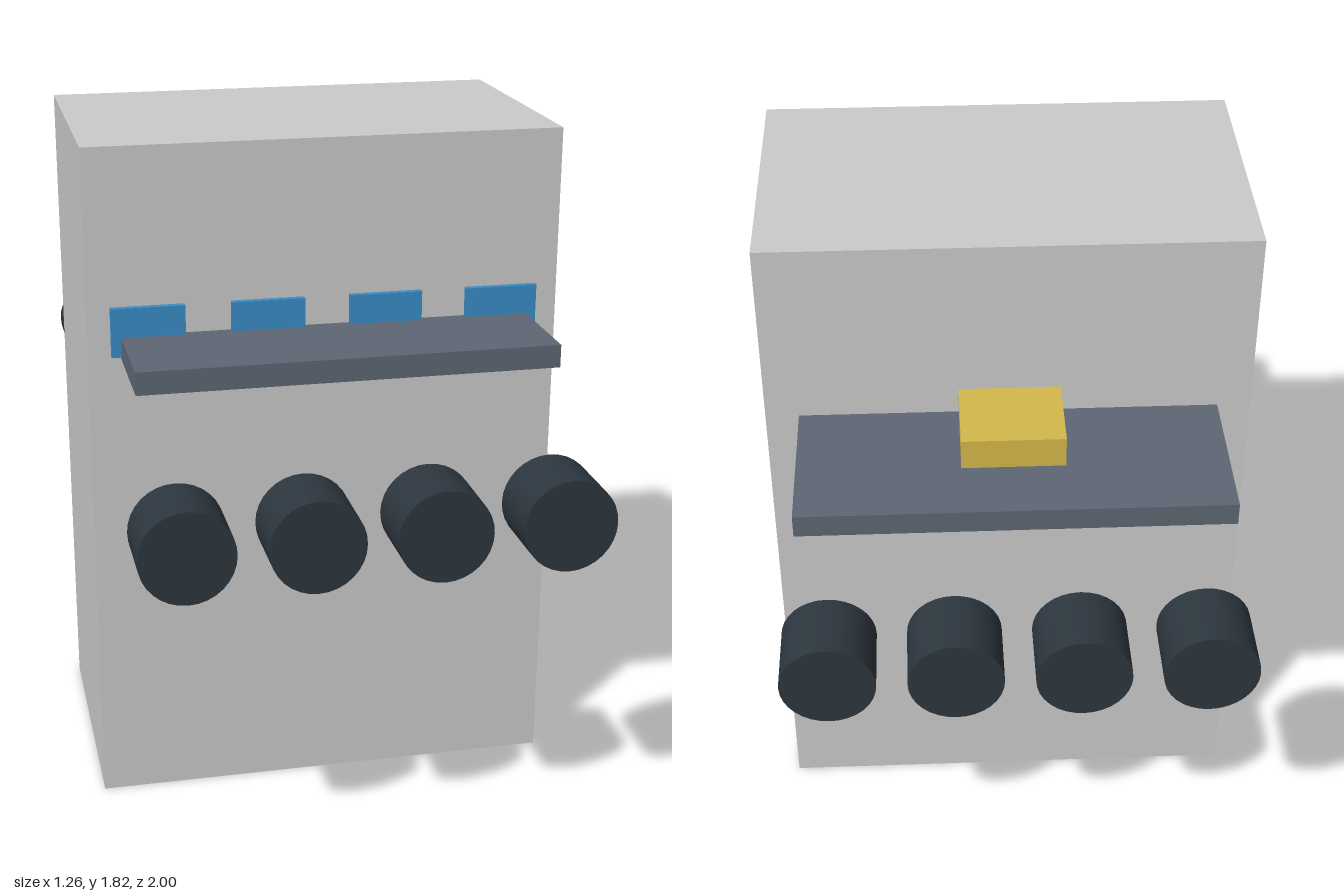
import * as THREE from 'three';

const material = (color) => new THREE.MeshStandardMaterial({ color });

export function createModel() {
  const model = new THREE.Group();
  model.name = 'controlKiosk';
  const grey = material(0xcccccc);
  const slate = material(0x5d6773);
  const dark = material(0x2d373f);
  const blue = material(0x3a8dc8);
  const yellow = material(0xd5b94a);

  const add = (name, geometry, mat, x, y, z) => {
    const mesh = new THREE.Mesh(geometry, mat);
    mesh.name = name;
    mesh.position.set(x, y, z);
    model.add(mesh);
  };
  // Box given by its height range and depth range, centred on x
  const box = (name, mat, x, width, y0, y1, z0, z1) =>
    add(name, new THREE.BoxGeometry(width, y1 - y0, z1 - z0), mat, x, (y0 + y1) / 2, (z0 + z1) / 2);

  // Tall central body
  box('body', grey, 0, 1.256, 0, 1.815, -0.37, 0.37);

  // Counters on both faces
  box('frontCounter', slate, 0, 1.084, 1.262, 1.322, 0.36, 0.67);
  box('backCounter', slate, 0, 1.084, 1.262, 1.322, -0.78, -0.36);

  // Box hovering just over the back counter
  box('tray', yellow, 0, 0.26, 1.34, 1.422, -0.63, -0.41);

  // Four seats per side, with a screen above each front seat
  const stool = new THREE.CylinderGeometry(0.119, 0.119, 0.183, 32).rotateX(Math.PI / 2);
  for (let i = 0; i < 4; i++) {
    const x = (i - 1.5) * 0.314;
    box('screen', blue, x, 0.193, 1.27, 1.4, 0.35, 0.388);
    add('frontStool', stool, dark, x, 0.967, 0.9085);
    add('backStool', stool, dark, x, 0.967, -0.9085);
  }
  return model;
}
